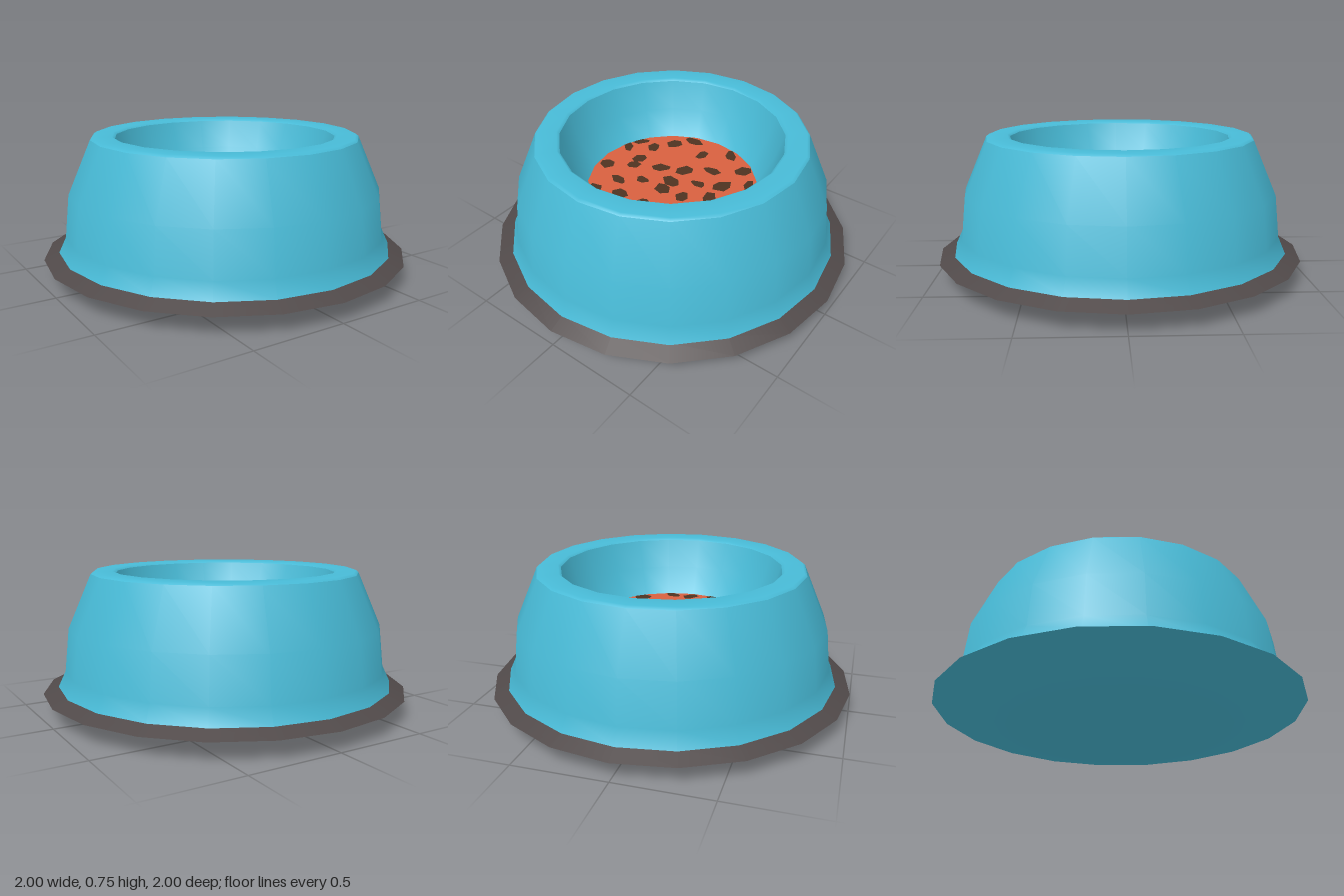
import * as THREE from 'three';

const SIDES = 20;
const FOOD_Y = 0.43;
const FOOD_R = 0.468;

// Kibble rows from back to front: z, then the x of each piece
const ROWS = [
  [-0.4, -0.13, 0.13],
  [-0.31, -0.21, -0.01, 0.27],
  [-0.21, -0.39, -0.29, 0.13, 0.37],
  [-0.12, -0.42, 0, 0.25],
  [-0.06, -0.28, -0.13, 0.13, 0.38],
  [0.01, -0.27, 0, 0.26, 0.44],
  [0.09, -0.4, -0.14, 0, 0.13, 0.38],
  [0.17, -0.25, 0.26],
  [0.26, -0.16, -0.02, 0.12],
  [0.32, -0.31, 0.27],
  [0.41, -0.15, 0, 0.11],
];

// Small seeded generator for the kibble outlines
function seededRandom(seed) {
  return () => (seed = (seed * 16807) % 2147483647) / 2147483647;
}

// One irregular six-sided piece, trimmed to the edge of the food
function kibbleShape(x, z, rand) {
  const angle = rand() * Math.PI;
  const length = 0.045 + 0.015 * rand();
  const width = 0.028 + 0.016 * rand();
  const points = [];
  for (let i = 0; i < 6; i++) {
    const t = ((i + 0.5 * rand()) / 6) * Math.PI * 2;
    const size = 0.85 + 0.3 * rand();
    const p = new THREE.Vector2(Math.cos(t) * length * size, Math.sin(t) * width * size);
    p.rotateAround(new THREE.Vector2(), angle).add(new THREE.Vector2(x, -z));
    points.push(p.clampLength(0, FOOD_R - 0.005));
  }
  return new THREE.Shape(points);
}

export function createModel() {
  const group = new THREE.Group();
  const mat = (name, color) => Object.assign(new THREE.MeshStandardMaterial({ color }), { name });
  const teal = mat('tealPlastic', 0x48bbd7);
  const grey = mat('greyRubber', 0x504949);
  const orange = mat('orangeFood', 0xd8603f);
  const brown = mat('brownKibble', 0x4e3321);

  const add = (name, geometry, material) => {
    const mesh = new THREE.Mesh(geometry, material);
    mesh.name = name;
    group.add(mesh);
    return mesh;
  };
  // Each lathe section is smooth; the joints between sections stay sharp
  const turn = (name, profile, material) =>
    add(name, new THREE.LatheGeometry(profile.map(([r, y]) => new THREE.Vector2(r, y)), SIDES), material);

  turn('underside', [[0, 0], [0.6, 0], [0.78, 0.035], [1, 0.1]], teal);
  turn('footRim', [[1, 0.1], [0.91, 0.14]], grey);
  turn('outerWall', [[0.92, 0.135], [0.88, 0.22], [0.855, 0.45], [0.73, 0.738]], teal);
  turn('topLip', [[0.73, 0.738], [0.715, 0.75], [0.615, 0.75], [0.6, 0.738]], teal);
  turn('innerWall', [[0.6, 0.738], [0.55, 0.58], [0.47, 0.43], [0.4, 0.36], [0, 0.36]], teal);

  // Food surface
  const food = add('food', new THREE.CircleGeometry(FOOD_R + 0.004, SIDES).rotateX(-Math.PI / 2), orange);
  food.position.y = FOOD_Y;

  // Kibble pieces lying on the food
  const rand = seededRandom(7);
  const shapes = ROWS.flatMap(([z, ...xs]) => xs.map((x) => kibbleShape(x, z, rand)));
  const kibble = add('kibble', new THREE.ShapeGeometry(shapes).rotateX(-Math.PI / 2), brown);
  kibble.position.y = FOOD_Y + 0.004;

  return group;
}
